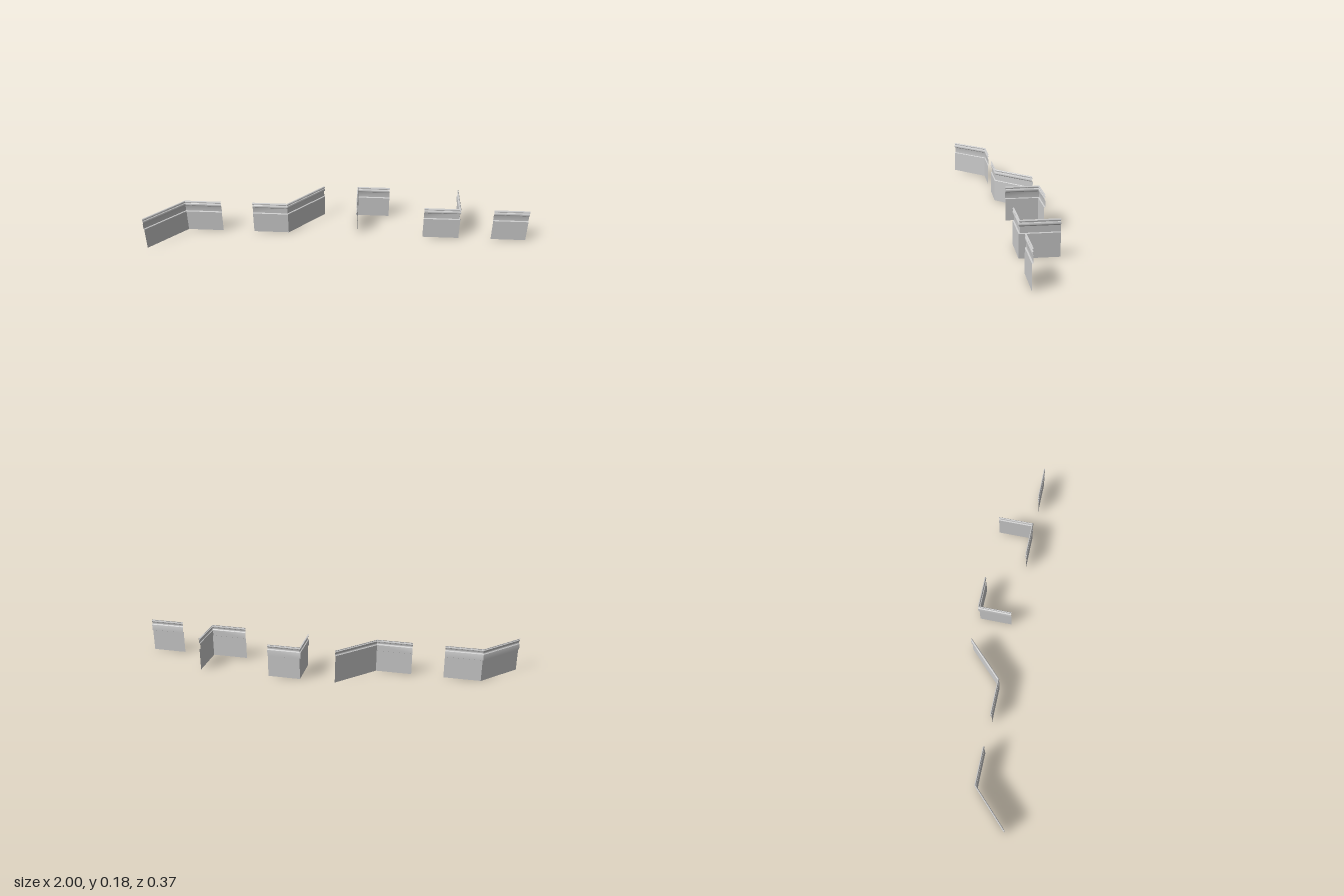
import * as THREE from 'three';
import { toCreasedNormals } from 'three/addons/utils/BufferGeometryUtils.js';

// Moulding cross-section: [distance out from the wall, height]
function mouldingProfile() {
  const pts = [[0.0065, 0], [0.0065, 0.117], [0.005, 0.119], [0.0005, 0.12], [0.0005, 0.152]];
  // Rounded bead
  for (let i = 0; i <= 8; i++) {
    const a = -Math.PI / 2 + (Math.PI * i) / 8;
    pts.push([0.002 + 0.005 * Math.cos(a), 0.1605 + 0.0085 * Math.sin(a)]);
  }
  // Groove, then the top lip
  pts.push([0.002, 0.173], [0.006, 0.1745], [0.0068, 0.177], [0.006, 0.1795], [0.004, 0.1815], [0, 0.182]);
  return pts;
}

// Sweeps the profile along a wall path of [x, z] points, mitred at the corners
function sweep(path, profile) {
  const normals = path.slice(1).map(([x, z], i) =>
    new THREE.Vector2(path[i][1] - z, x - path[i][0]).normalize());
  const positions = [];
  path.forEach(([x, z], i) => {
    const a = normals[Math.max(i - 1, 0)];
    const b = normals[Math.min(i, normals.length - 1)];
    const miter = a.clone().add(b).divideScalar(1 + a.dot(b));
    for (const [out, y] of profile) positions.push(x + miter.x * out, y, z + miter.y * out);
  });
  const n = profile.length;
  const index = [];
  for (let i = 0; i < path.length - 1; i++) {
    for (let j = 0; j < n - 1; j++) {
      const a = i * n + j, b = a + n;
      index.push(a, b, b + 1, a, b + 1, a + 1);
    }
  }
  const geometry = new THREE.BufferGeometry();
  geometry.setAttribute('position', new THREE.Float32BufferAttribute(positions, 3));
  geometry.setIndex(index);
  return toCreasedNormals(geometry, Math.PI / 6);
}

export function createModel() {
  const group = new THREE.Group();
  group.name = 'skirtingBoardSet';
  const material = new THREE.MeshStandardMaterial({ color: 0xcccccc, side: THREE.DoubleSide });
  const profile = mouldingProfile();

  // Wall lines of the five sections, from left to right along the front
  const sections = {
    obtuseInnerCorner: [[-1, 0.181], [-0.819, 0], [-0.625, 0]],
    obtuseOuterCorner: [[-0.457, 0], [-0.272, 0], [-0.089, -0.183]],
    squareInnerCorner: [[0.094, -0.006], [0.094, -0.186], [0.271, -0.186]],
    squareOuterCorner: [[0.452, 0], [0.638, 0], [0.638, -0.186]],
    straightSection: [[0.816, 0], [1, 0]],
  };
  for (const [name, path] of Object.entries(sections)) {
    const mesh = new THREE.Mesh(sweep(path, profile), material);
    mesh.name = name;
    group.add(mesh);
  }
  return group;
}
